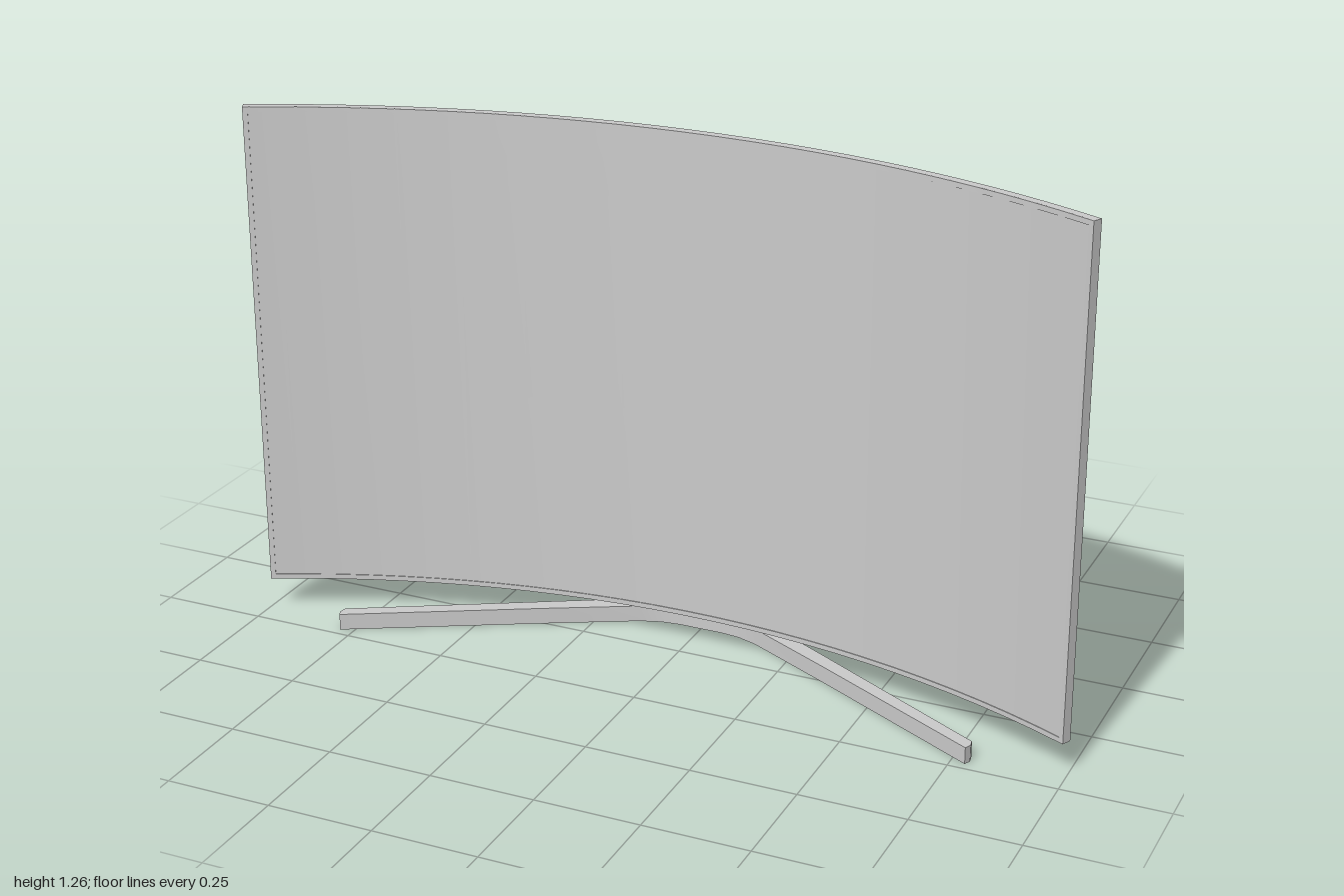
import * as THREE from 'three';
import { toCreasedNormals } from 'three/addons/utils/BufferGeometryUtils.js';

const material = new THREE.MeshStandardMaterial({ color: 0xcccccc });

// Curved screen: arcs about a vertical axis in front of the panel
const R_BACK = 2.28, R_FLOOR = 2.265, R_SCREEN = 2.2585, R_BEZEL = 2.2565;
const AXIS_Z = R_BACK - 0.053;
const END = Math.asin(1 / R_BACK), RECESS = Math.asin(0.467 / R_BACK);
const BOTTOM = 0.08, TOP = 1.257, RECESS_BOTTOM = 0.58, RECESS_TOP = 1.09;

function addMesh(parent, name, geometry) {
  const mesh = new THREE.Mesh(geometry, material);
  mesh.name = name;
  parent.add(mesh);
  return mesh;
}

// Move every vertex by a rule
function reshape(geometry, rule) {
  const pos = geometry.attributes.position, v = new THREE.Vector3();
  for (let i = 0; i < pos.count; i++) {
    v.fromBufferAttribute(pos, i);
    rule(v);
    pos.setXYZ(i, v.x, v.y, v.z);
  }
  return geometry;
}

// Slab following the screen's curve, between two angles, heights and radii
function arcSlab(a0, a1, y0, y1, rFront, rBack) {
  const n = Math.max(1, Math.ceil((a1 - a0) / 0.035));
  const points = [];
  const arc = (r, from, to) => {
    for (let i = 0; i <= n; i++) {
      const a = from + (to - from) * i / n;
      points.push(new THREE.Vector2(r * Math.sin(a), r * Math.cos(a) - AXIS_Z));
    }
  };
  arc(rFront, a0, a1);
  arc(rBack, a1, a0);
  const geometry = new THREE.ExtrudeGeometry(new THREE.Shape(points), { depth: y1 - y0, bevelEnabled: false });
  geometry.rotateX(-Math.PI / 2).translate(0, y0, 0);
  return toCreasedNormals(geometry, 0.5);
}

function createScreen() {
  const screen = new THREE.Group();
  screen.name = 'screen';
  const slab = (name, ...args) => addMesh(screen, name, arcSlab(...args));

  // Housing, thinner in the middle to leave the rear recess
  slab('rightHousing', -END, -RECESS, BOTTOM, TOP, R_SCREEN, R_BACK);
  slab('leftHousing', RECESS, END, BOTTOM, TOP, R_SCREEN, R_BACK);
  slab('lowerHousing', -RECESS, RECESS, BOTTOM, RECESS_BOTTOM, R_SCREEN, R_BACK);
  slab('upperHousing', -RECESS, RECESS, RECESS_TOP, TOP, R_SCREEN, R_BACK);
  slab('rearRecess', -RECESS, RECESS, RECESS_BOTTOM, RECESS_TOP, R_SCREEN, R_FLOOR);

  // Thin raised bezel round the front
  const b = 0.012, side = b / R_BACK;
  slab('bottomBezel', -END, END, BOTTOM, BOTTOM + b, R_BEZEL, R_SCREEN);
  slab('topBezel', -END, END, TOP - b, TOP, R_BEZEL, R_SCREEN);
  slab('rightBezel', -END, -END + side, BOTTOM + b, TOP - b, R_BEZEL, R_SCREEN);
  slab('leftBezel', END - side, END, BOTTOM + b, TOP - b, R_BEZEL, R_SCREEN);
  return screen;
}

function createStand() {
  const stand = new THREE.Group();
  stand.name = 'stand';

  // Tapered mount between screen and column
  const mount = reshape(new THREE.BoxGeometry(0.2, 0.165, 0.021).toNonIndexed(), (v) => {
    if (v.z < 0) { v.x *= 0.6; v.y *= 0.55; }
  });
  mount.computeVertexNormals();
  addMesh(stand, 'mount', mount).position.set(0, 0.327, -0.0555);

  // Column: side profile as [z, y], swept back and flared at the foot
  const profile = [
    [-0.065, 0.385], [-0.065, 0.175], [-0.067, 0.155], [-0.074, 0.132], [-0.102, 0.08],
    [-0.113, 0.058], [-0.119, 0.046], [-0.122, 0.036],
    [-0.208, 0.036], [-0.203, 0.046], [-0.198, 0.058], [-0.188, 0.08],
    [-0.166, 0.132], [-0.159, 0.155], [-0.157, 0.175], [-0.157, 0.385],
  ];
  const column = new THREE.ExtrudeGeometry(
    new THREE.Shape(profile.map(([z, y]) => new THREE.Vector2(-z, y))),
    { depth: 0.12, bevelEnabled: false });
  column.translate(0, 0, -0.06).rotateY(Math.PI / 2);
  reshape(column, (v) => {
    const t = Math.max(0, (0.075 - v.y) / 0.039);
    v.x *= 1 + (v.z > -0.15 ? 0.6 : 0.25) * t * t;
  });
  addMesh(stand, 'column', toCreasedNormals(column, 0.6));

  // V-shaped foot: left half of the plan as [x, z], mirrored
  const half = [
    [0.064, -0.233], [0.118, -0.178], [0.14, -0.158], [0.18, -0.136], [0.36, -0.038], [0.787, 0.197],
    [0.79, 0.215], [0.783, 0.23], [0.36, 0.004], [0.15, -0.105], [0.1, -0.122], [0.055, -0.127],
  ];
  const outline = [...half, ...half.map(([x, z]) => [-x, z]).reverse()];
  const foot = new THREE.ExtrudeGeometry(
    new THREE.Shape(outline.map(([x, z]) => new THREE.Vector2(x, -z))),
    { depth: 0.04, bevelEnabled: false });
  foot.rotateX(-Math.PI / 2);
  // Slope the rear face forward towards the top
  reshape(foot, (v) => {
    if (v.y > 0.02 && v.z < -0.17) v.z += v.z < -0.2 ? 0.026 : 0.01;
  });
  addMesh(stand, 'foot', toCreasedNormals(foot, 0.4));
  return stand;
}

export function createModel() {
  const model = new THREE.Group();
  model.name = 'curvedMonitor';
  model.add(createScreen(), createStand());
  return model;
}
